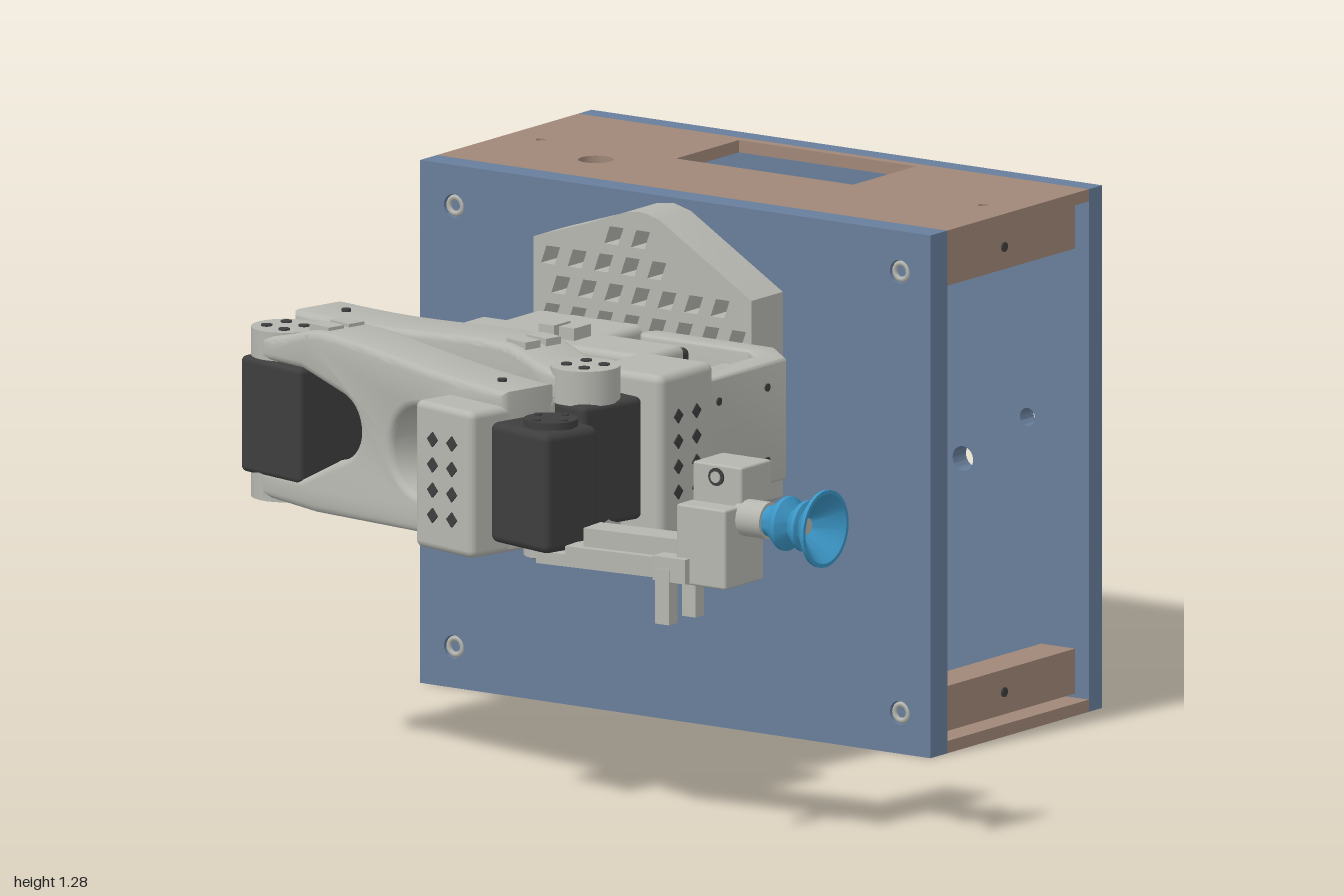
import * as THREE from 'three';
import { toCreasedNormals } from 'three/addons/utils/BufferGeometryUtils.js';
import { RoundedBoxGeometry } from 'three/addons/geometries/RoundedBoxGeometry.js';

const mat = (name, color) => Object.assign(new THREE.MeshStandardMaterial({ color }), { name });

export function createModel() {
  const blue = mat('blue panel', 0x687e9b), brown = mat('brown board', 0xa08778);
  const grey = mat('light grey plastic', 0xb6b6b0), dark = mat('black motor', 0x3e3e3e);
  const cupBlue = mat('blue rubber', 0x3b96c6);
  const model = new THREE.Group();

  // ---- helpers ----
  const add = (parent, name, geo, m, x = 0, y = 0, z = 0) => {
    const mesh = new THREE.Mesh(geo, m);
    mesh.name = name;
    mesh.position.set(x, y, z);
    parent.add(mesh);
    return mesh;
  };
  // box from ranges, with optional rounding
  const box = (parent, name, m, [x0, x1], [y0, y1], [z0, z1], r = 0) => {
    const s = [x1 - x0, y1 - y0, z1 - z0];
    const geo = r ? new RoundedBoxGeometry(...s, 2, r) : new THREE.BoxGeometry(...s);
    return add(parent, name, geo, m, (x0 + x1) / 2, (y0 + y1) / 2, (z0 + z1) / 2);
  };
  const poly = pts => new THREE.Shape(pts.map(p => new THREE.Vector2(...p)));
  const circle = (x, y, r) => new THREE.Path().absarc(x, y, r, 0, Math.PI * 2, true);
  const rect = (x0, x1, y0, y1) => poly([[x0, y0], [x1, y0], [x1, y1], [x0, y1]]);
  const extrude = (shape, depth, b = 0) => {
    const g = new THREE.ExtrudeGeometry(shape, { depth: depth - 2 * b, bevelEnabled: b > 0, bevelSize: b, bevelThickness: b, bevelOffset: -b, bevelSegments: 3, curveSegments: 16 });
    return toCreasedNormals(g.translate(0, 0, b), 0.6);
  };
  // plan shapes are drawn as (x, -z) and pulled upwards
  const plan = (shape, h, b) => extrude(shape, h, b).rotateX(-Math.PI / 2);
  const disc = (r, h, n = 24) => new THREE.CylinderGeometry(r, r, h, n);
  const group = (name, x, z, turn) => {
    const g = new THREE.Group();
    g.name = name;
    g.position.set(x, 0, z);
    g.rotation.y = turn;
    model.add(g);
    return g;
  };

  // ---- cabinet ----
  const corners = [[-0.9, 1.18], [0.41, 1.18], [-0.9, 0.1], [0.41, 0.1]];
  const front = rect(-1, 0.5, 0, 1.28);
  front.holes = corners.map(([x, y]) => circle(x, y, 0.029));
  add(model, 'cabinetFront', extrude(front, 0.07), blue, 0, 0, -0.36);
  for (const [x, y] of corners) {
    add(model, 'cornerScrew', new THREE.TorusGeometry(0.02, 0.007, 6, 20), grey, x, y, -0.298);
    add(model, 'cornerBore', disc(0.028, 0.03).rotateX(Math.PI / 2), blue, x, y, -0.33);
  }
  const back = rect(-1, 0.5, 0, 1.28);
  const backHoles = [[-0.03, 1.13], [-0.53, 1.14], [0.32, 0.7], [0.13, 0.575], [-0.46, 0.77], [-0.71, 0.78], [-0.07, 0.255], [-0.42, 0.265], [-0.71, 0.48]];
  back.holes = [...corners, ...backHoles].map(([x, y], i) => circle(x, y, i < 4 || i % 3 === 1 ? 0.03 : 0.022));
  add(model, 'cabinetBack', extrude(back, 0.055), blue, 0, 0, -1);

  const top = rect(-1, 0.5, 0.36, 0.945);
  top.holes = [rect(-0.51, 0.01, 0.66, 0.92), circle(-0.66, 0.54, 0.043), circle(-0.9, 0.65, 0.013), circle(0.4, 0.65, 0.013)];
  add(model, 'cabinetTop', plan(top, 0.03), brown, 0, 1.25, 0);
  const bottom = rect(-1, 0.5, 0.36, 0.945);
  bottom.holes = [circle(0.16, 0.65, 0.043), circle(-0.9, 0.65, 0.013), circle(0.4, 0.65, 0.013)];
  add(model, 'cabinetBottom', plan(bottom, 0.03), brown);

  // corner blocks, battens and small shelves, mirrored about the cabinet's middle
  for (const s of [-1, 1]) {
    const X = (a, b) => s > 0 ? [-0.25 + a, -0.25 + b] : [-0.25 - b, -0.25 - a];
    for (const y of [0.04, 1.13]) {
      box(model, 'cornerBlock', brown, X(0.61, 0.71), [y, y + 0.11], [-0.945, -0.36]);
      add(model, 'blockHole', disc(0.012, 0.006, 12).rotateZ(Math.PI / 2), dark, -0.25 + s * 0.711, y + 0.055, -0.65);
    }
    box(model, 'batten', blue, X(0.62, 0.68), [0.15, 1.13], [-0.46, -0.36]);
    for (const y of [0.12, 0.62, 1.08]) box(model, 'smallShelf', blue, X(0.3, 0.55), [y, y + 0.035], [-0.46, -0.36]);
  }

  // ---- perforated mounting plates ----
  const mountPlate = (name, pts, inside) => {
    const s = poly(pts);
    for (let i = 0; i < 8; i++) for (let j = 0; j < 4; j++) {
      const x = -0.52 + i * 0.078 + (j % 2) * 0.03, y = inside.y0 + j * 0.07;
      if (inside.test(x, y)) s.holes.push(poly([[x - 0.028, y - 0.022], [x + 0.012, y - 0.022], [x + 0.028, y + 0.022], [x - 0.012, y + 0.022]]));
    }
    add(model, name, extrude(s, 0.13), grey, 0, 0, -0.285);
  };
  mountPlate('upperMountPlate',
    [[-0.57, 0.93], [0.07, 0.93], [0.07, 1.09], [-0.2, 1.255], [-0.25, 1.268], [-0.3, 1.262], [-0.4, 1.225], [-0.57, 1.17]],
    { y0: 0.99, test: (x, y) => y < 1.12 - 0.61 * x - 0.07 && y < 1.32 + 0.26 * x - 0.03 });
  mountPlate('lowerMountPlate',
    [[-0.57, 0.78], [-0.57, 0.54], [-0.32, 0.44], [-0.2, 0.436], [0.07, 0.59], [0.07, 0.78]],
    { y0: 0.51, test: (x, y) => y > 0.55 + 0.57 * x + 0.05 && y > 0.31 - 0.4 * x + 0.05 });
  box(model, 'mountBridge', grey, [-0.5, 0], [0.77, 0.94], [-0.28, -0.21]);

  // ---- base motor housing ----
  box(model, 'baseColumn', grey, [-0.57, -0.25], [0.7, 0.99], [-0.18, 0.03], 0.02);
  box(model, 'baseHousing', grey, [-0.61, -0.28], [0.69, 1], [0, 0.25], 0.02);
  box(model, 'baseHousingNose', grey, [-0.32, -0.01], [0.69, 1], [0, 0.17], 0.02);
  for (const x of [-0.36, -0.3]) box(model, 'housingClip', grey, [x, x + 0.045], [0.99, 1.03], [0.05, 0.12]);
  box(model, 'baseMotor', dark, [-0.3, -0.04], [0.71, 0.98], [-0.06, 0.19], 0.015);
  for (const z of [-0.06, 0.18]) add(model, 'baseMotorHub', disc(0.09, 0.05).rotateX(Math.PI / 2), dark, -0.13, 0.84, z);
  box(model, 'baseMotorFoot', grey, [-0.4, -0.23], [0.72, 0.97], [0.1, 0.25], 0.015);

  // ---- swinging bracket ----
  const bracket = poly([[-0.19, 0.14], [0.15, 0.14], [0.24, 0.06], [0.24, -0.28], [-0.19, -0.28], [-0.21, -0.26], [-0.21, -0.22], [-0.19, -0.2], [0.12, -0.2], [0.17, -0.17], [0.17, 0.03], [0.12, 0.07], [-0.19, 0.07], [-0.21, 0.09], [-0.21, 0.12]]);
  add(model, 'swingBracket', plan(bracket, 0.3, 0.008), grey, 0, 0.69, 0);
  box(model, 'bracketRib', grey, [0.05, 0.18], [0.73, 0.95], [-0.08, 0.21]);
  for (const y of [0.75, 0.93]) for (const z of [0.02, 0.22]) add(model, 'bracketScrew', disc(0.01, 0.006, 10).rotateZ(Math.PI / 2), dark, 0.241, y, z);

  // dimple grid on a block face; rows of diamonds facing local z
  const diamonds = (parent, cols, rows, dx, dy, x, y, z) => {
    for (let i = 0; i < cols; i++) for (let j = 0; j < rows; j++) {
      const d = add(parent, 'diamondHole', new THREE.BoxGeometry(0.026, 0.026, 0.006), dark, x + (i - (cols - 1) / 2) * dx, y + (j - (rows - 1) / 2) * dy, z);
      d.rotation.z = Math.PI / 4;
    }
  };

  // ---- shoulder block ----
  box(model, 'shoulderBlock', grey, [0.05, 0.265], [0.62, 1.04], [0.27, 0.49], 0.02);
  box(model, 'shoulderBlockStep', grey, [0, 0.08], [0.68, 0.98], [0.34, 0.5], 0.015);
  diamonds(group('shoulderDimples', 0.265, 0.385, Math.PI / 2), 2, 4, 0.075, 0.062, 0, 0.84, 0);

  // ---- forked arm links: local x runs from the pivot (0) to the block end ----
  const link = (g, L, thick, lo, hi) => {
    const s = new THREE.Shape();
    s.moveTo(0, lo + 0.01);
    s.lineTo(0.2, lo);
    s.lineTo(L, lo + 0.02);
    s.lineTo(L, 0.72);
    s.lineTo(0.58, 0.74);
    s.bezierCurveTo(0.44, 0.75, 0.44, 0.95, 0.58, 0.96);
    s.lineTo(L, 0.97);
    s.lineTo(L, hi - 0.04);
    s.bezierCurveTo(0.6, hi - 0.04, 0.4, hi, 0.22, hi);
    s.bezierCurveTo(0.14, hi, 0.1, hi - 0.04, 0, hi - 0.04);
    s.lineTo(0, 0.985);
    s.lineTo(0.15, 0.985);
    s.lineTo(0.28, 0.95);
    s.bezierCurveTo(0.39, 0.93, 0.39, 0.8, 0.28, 0.78);
    s.lineTo(0.15, 0.715);
    s.lineTo(0, 0.715);
    add(g, 'forkedLink', extrude(s, thick, 0.018), grey, 0, 0, -thick / 2);
    for (const [y0, y1, face] of [[lo, 0.71, lo], [0.985, hi - 0.03, hi - 0.03]]) {
      add(g, 'pivotCap', disc(thick / 2, y1 - y0), grey, 0, (y0 + y1) / 2, 0);
      for (const a of [0, 1, 2, 3]) add(g, 'pivotScrew', disc(0.014, 0.008, 12), dark, 0.045 * Math.cos(a * 1.571 + 0.78), face, 0.045 * Math.sin(a * 1.571 + 0.78));
    }
    for (const z of [-0.035, 0.03]) box(g, 'capClip', grey, [0.15, 0.22], [hi - 0.03, hi + 0.008], [z - 0.024, z + 0.024]);
    add(g, 'endScrew', disc(0.012, 0.01, 12), dark, L - 0.1, hi - 0.037, 0);
  };
  const tilt = 0.235;

  // rear link, pivoting at the shoulder and carrying the elbow motor
  const rear = group('rearLink', 0.115, 0.595, Math.PI - tilt);
  link(rear, 0.97, 0.17, 0.615, 1.1);
  box(rear, 'elbowBlock', grey, [0.74, 0.97], [0.66, 1.04], [-0.085, 0.085], 0.015);
  diamonds(rear, 3, 4, 0.06, 0.07, 0.855, 0.85, 0.086);
  box(rear, 'shoulderMotor', dark, [-0.085, 0.1], [0.69, 0.99], [-0.08, 0.11], 0.015);

  // front link, pivoting at the elbow and carrying the wrist motor
  const fore = group('frontLink', -0.77, 0.59, -tilt);
  link(fore, 0.89, 0.165, 0.64, 1.085);
  box(fore, 'elbowMotor', dark, [-0.07, 0.15], [0.7, 0.985], [-0.14, 0.085], 0.015);
  box(fore, 'wristBlock', grey, [0.68, 0.89], [0.65, 1.01], [-0.09, 0.185], 0.018);
  diamonds(fore, 2, 4, 0.07, 0.062, 0.785, 0.83, 0.186);

  // ---- wrist motor ----
  const wrist = group('wrist', 0.2, 0.88, -tilt);
  box(wrist, 'wristMotor', dark, [-0.11, 0.1], [0.69, 0.985], [-0.085, 0.085], 0.02);
  for (const y of [0.682, 0.99]) {
    add(wrist, 'wristHub', disc(0.065, 0.025), y > 0.8 ? dark : grey, 0.02, y, 0);
    for (const a of [0, 1, 2, 3]) add(wrist, 'wristScrew', disc(0.01, 0.034, 10), dark, 0.02 + 0.045 * Math.cos(a * 1.571), y, 0.045 * Math.sin(a * 1.571));
  }

  // ---- tool arm, tool block and suction cup ----
  const tool = group('toolArm', 0.2, 0.895, 0.085);
  box(tool, 'toolPlate', grey, [0.02, 0.44], [0.66, 0.69], [-0.06, 0.06]);
  box(tool, 'toolBeam', grey, [0.14, 0.43], [0.685, 0.755], [-0.04, 0.04]);
  box(tool, 'toolBeamBase', grey, [0.1, 0.43], [0.68, 0.71], [-0.06, 0.06]);
  for (const z of [0.825, 0.935]) box(model, 'toolProng', grey, [0.575, 0.615], [0.555, 0.69], [z - 0.018, z + 0.018]);
  box(model, 'toolFoot', grey, [0.565, 0.66], [0.66, 0.72], [0.8, 0.95]);
  box(model, 'toolBlock', grey, [0.62, 0.765], [0.655, 0.85], [0.77, 0.93], 0.006);
  box(model, 'toolClamp', grey, [0.625, 0.77], [0.845, 0.945], [0.745, 0.87], 0.006);
  add(model, 'clampBolt', disc(0.022, 0.008, 16).rotateX(Math.PI / 2), dark, 0.697, 0.915, 0.871);
  add(model, 'clampBoltHead', disc(0.014, 0.01, 16).rotateX(Math.PI / 2), grey, 0.697, 0.915, 0.873);
  add(model, 'cupStem', disc(0.045, 0.08).rotateZ(Math.PI / 2), grey, 0.795, 0.82, 0.845);

  // bellows profile as (radius, distance from the stem), closing back inside the cup
  const bellows = [[0, 0], [0.036, 0], [0.04, 0.02], [0.066, 0.055], [0.066, 0.065], [0.04, 0.085], [0.062, 0.11], [0.062, 0.12], [0.05, 0.125], [0.094, 0.163], [0.094, 0.172], [0.085, 0.172], [0.035, 0.12], [0.02, 0.1], [0, 0.1]];
  const cup = new THREE.LatheGeometry(bellows.map(p => new THREE.Vector2(...p)), 32);
  add(model, 'suctionCup', toCreasedNormals(cup, 0.5).rotateZ(-Math.PI / 2), cupBlue, 0.828, 0.82, 0.845);
  add(model, 'cupNozzle', disc(0.02, 0.03, 16).rotateZ(Math.PI / 2), grey, 0.93, 0.82, 0.845);

  return model;
}
